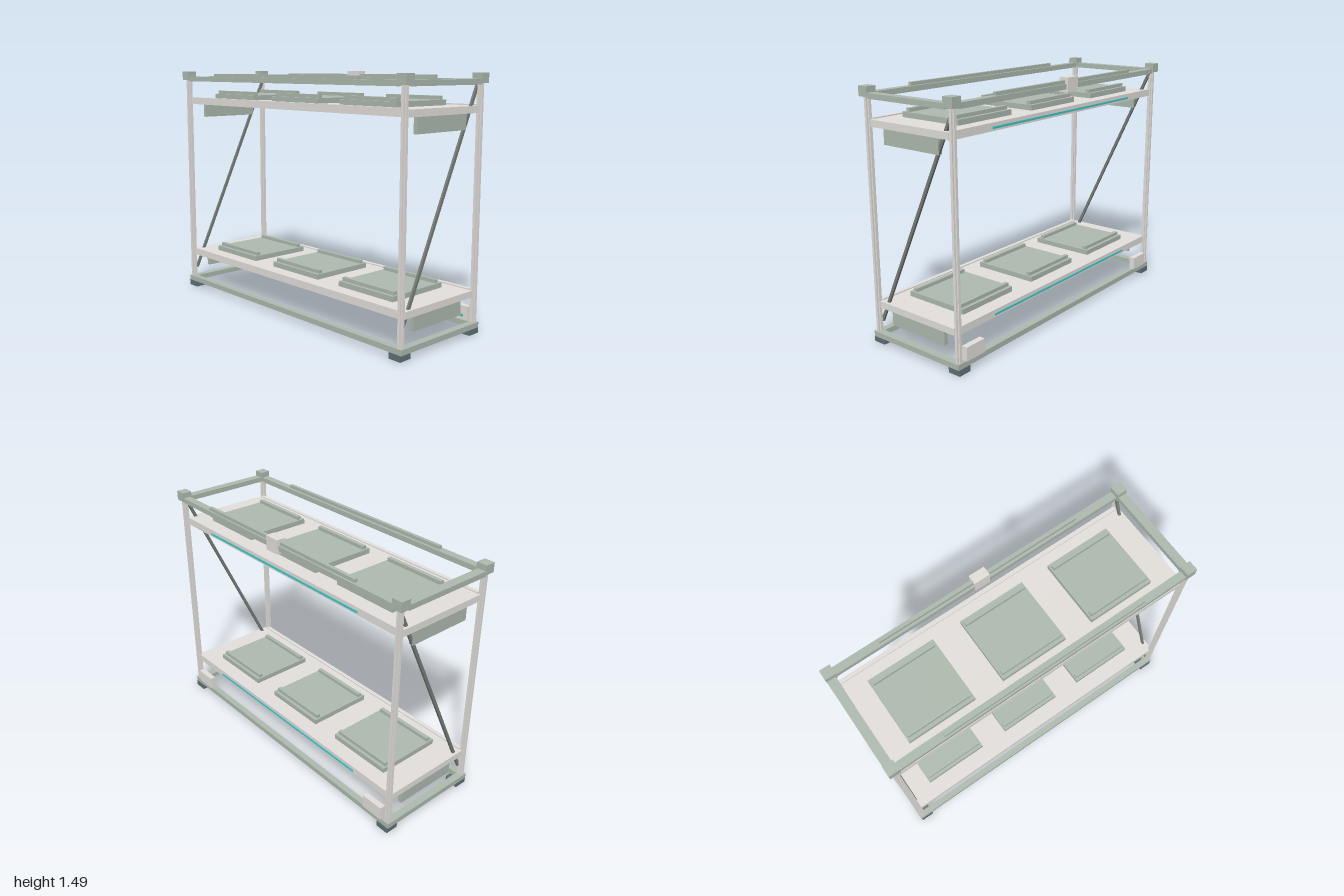
import * as THREE from 'three';

const mat = (name, color) => {
  const m = new THREE.MeshStandardMaterial({ color });
  m.name = name;
  return m;
};

export function createModel() {
  const green = mat('sage green', 0xadb9ae);
  const grey = mat('warm grey', 0xe2dfdb);
  const dark = mat('gunmetal', 0x787d79);
  const rubber = mat('slate rubber', 0x5f7077);
  const teal = mat('teal', 0x44c6c8);

  const model = new THREE.Group();
  model.name = 'storageRack';

  // Box given by its min and max on each axis
  const box = (name, material, [x0, x1], [y0, y1], [z0, z1], parent = model) => {
    const mesh = new THREE.Mesh(new THREE.BoxGeometry(x1 - x0, y1 - y0, z1 - z0), material);
    mesh.position.set((x0 + x1) / 2, (y0 + y1) / 2, (z0 + z1) / 2);
    mesh.name = name;
    parent.add(mesh);
  };
  // Range on either side of the centre plane
  const span = (s, a, b) => (s > 0 ? [a, b] : [-b, -a]);

  // Cross-shaped post section
  const h = 0.018, t = 0.008;
  const points = [];
  for (let i = 0; i < 4; i++) {
    for (const [x, y] of [[-t, -t], [-t, -h], [t, -h]]) {
      points.push(new THREE.Vector2(x, y).rotateAround(new THREE.Vector2(), (i * Math.PI) / 2));
    }
  }
  const postGeometry = new THREE.ExtrudeGeometry(new THREE.Shape(points), { depth: 1.38, bevelEnabled: false });
  postGeometry.rotateX(-Math.PI / 2);

  // Corners: post, foot and top connector
  for (const sx of [1, -1]) {
    for (const sz of [1, -1]) {
      const post = new THREE.Mesh(postGeometry, grey);
      post.name = 'post';
      post.position.set(sx * 0.967, 0.06, sz * 0.313);
      model.add(post);
      box('foot', rubber, span(sx, 0.905, 0.988), [0, 0.035], span(sz, 0.257, 0.338));
      box('cornerConnector', green, span(sx, 0.935, 1), [1.433, 1.49], span(sz, 0.28, 0.344));
    }
  }

  // Top and bottom frames
  for (const s of [1, -1]) {
    box('topLongRail', green, [-0.94, 0.94], [1.425, 1.456], span(s, 0.289, 0.337));
    box('topRailStrip', green, [-0.655, 0.655], [1.456, 1.476], span(s, 0.305, 0.326));
    box('topSideRail', green, span(s, 0.945, 0.998), [1.425, 1.456], [-0.285, 0.285]);
    box('bottomLongRail', green, [-0.992, 0.992], [0.035, 0.067], span(s, 0.295, 0.334));
    box('bottomSideRail', green, span(s, 0.948, 0.992), [0.035, 0.067], [-0.295, 0.295]);
  }
  box('railClamp', grey, [-0.05, 0.05], [1.407, 1.493], [-0.347, -0.288]);

  // Shelves, with edge beams, pads and end panels
  for (const y of [0.219, 1.27]) {
    const shelf = new THREE.Group();
    shelf.name = 'shelf';
    shelf.position.y = y;
    model.add(shelf);
    box('shelfBoard', grey, [-0.975, 0.975], [0, 0.04], [-0.29, 0.29], shelf);
    for (const s of [1, -1]) {
      box('edgeBeam', grey, [-0.955, 0.955], [0.002, 0.047], span(s, 0.286, 0.312), shelf);
      box('endPanel', green, span(s, 0.935, 0.96), [-0.09, 0], [-0.203, 0.205], shelf);
    }
    for (const x of [-0.604, 0, 0.604]) {
      box('pad', green, [x - 0.211, x + 0.211], [0.04, 0.071], [-0.209, 0.209], shelf);
      for (const s of [1, -1]) {
        box('padRidge', green, [x - 0.2, x + 0.2], [0.071, 0.092], span(s, 0.163, 0.188), shelf);
      }
    }
    box('backLightStrip', teal, [-0.67, 0.67], [0.014, 0.026], [-0.317, -0.312], shelf);
  }

  // Diagonal braces, from the front foot to the back top
  const bottom = new THREE.Vector2(0.3, 0.13), top = new THREE.Vector2(-0.306, 1.425);
  const run = top.clone().sub(bottom);
  for (const s of [1, -1]) {
    const brace = new THREE.Mesh(new THREE.BoxGeometry(0.014, run.length(), 0.018), dark);
    brace.name = 'diagonalBrace';
    brace.position.set(s * 0.951, (bottom.y + top.y) / 2, (bottom.x + top.x) / 2);
    brace.rotation.x = Math.atan2(run.x, run.y);
    model.add(brace);

    // Control boxes on the back rail
    box('controlBox', grey, span(s, 0.79, 0.932), [0.067, 0.149], [-0.341, -0.305]);
    box('controlBoxLight', teal, span(s, 0.815, 0.905), [0.084, 0.099], [-0.305, -0.3]);
  }

  return model;
}
